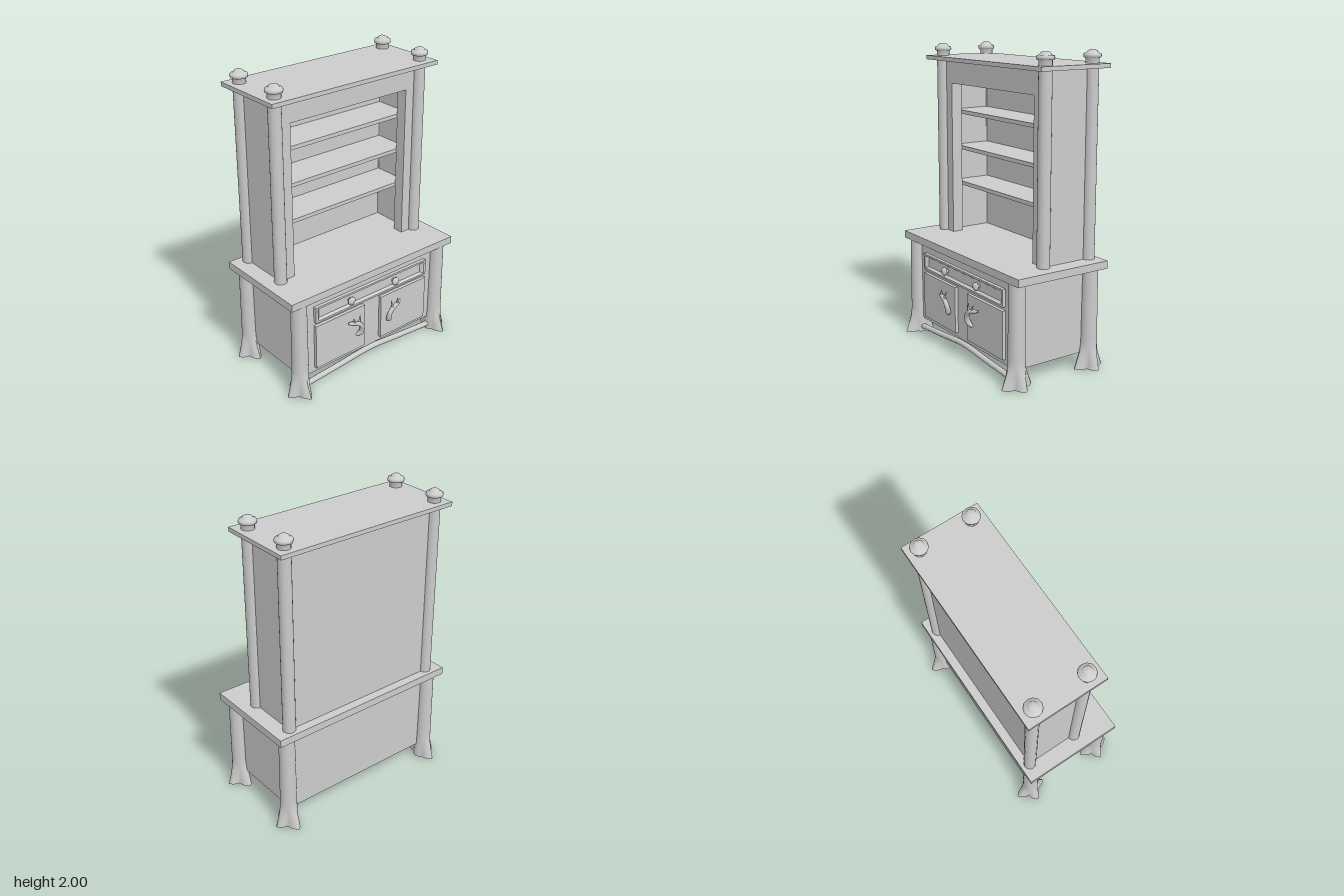
import * as THREE from 'three';

const mat = new THREE.MeshStandardMaterial({ color: 0xcccccc, side: THREE.DoubleSide });

export function createModel() {
  const root = new THREE.Group();
  root.name = 'hutchCabinet';

  const add = (name, geo, x = 0, y = 0, z = 0) => {
    const m = new THREE.Mesh(geo, mat);
    m.name = name;
    m.position.set(x, y, z);
    root.add(m);
    return m;
  };
  // Box given by its min and max on each axis
  const box = (name, x0, x1, y0, y1, z0, z1) =>
    add(name, new THREE.BoxGeometry(x1 - x0, y1 - y0, z1 - z0), (x0 + x1) / 2, (y0 + y1) / 2, (z0 + z1) / 2);

  // Rectangle outline, used for shapes and holes
  const rect = (path, x0, x1, y0, y1) => {
    path.moveTo(x0, y0);
    path.lineTo(x1, y0);
    path.lineTo(x1, y1);
    path.lineTo(x0, y1);
    path.closePath();
    return path;
  };

  // Tube whose radius follows a rule along its length
  const taperedTube = (points, radius, rule, steps = 20) => {
    const curve = new THREE.CatmullRomCurve3(points.map((p) => new THREE.Vector3(...p)));
    const sides = 10;
    const geo = new THREE.TubeGeometry(curve, steps, radius, sides);
    const pos = geo.attributes.position;
    const v = new THREE.Vector3();
    for (let i = 0; i < pos.count; i++) {
      const t = Math.floor(i / (sides + 1)) / steps;
      const c = curve.getPointAt(t);
      v.fromBufferAttribute(pos, i).sub(c).multiplyScalar(rule(t)).add(c);
      pos.setXYZ(i, v.x, v.y, v.z);
    }
    return geo;
  };

  // Trunk-like leg that spreads into pointed roots at the floor
  const legGeometry = (sx) => {
    const h = 0.665;
    const geo = new THREE.CylinderGeometry(0.051, 0.056, h, 32, 24);
    geo.translate(0, h / 2, 0);
    const roots = [
      [Math.PI / 2, 0.055],
      [-Math.PI / 2, 0.055],
      [sx > 0 ? 0 : Math.PI, 0.046],
      [sx > 0 ? Math.PI : 0, 0.008],
    ];
    const pos = geo.attributes.position;
    for (let i = 0; i < pos.count; i++) {
      const x = pos.getX(i), y = pos.getY(i), z = pos.getZ(i);
      const r = Math.hypot(x, z);
      if (y > 0.16 || r < 0.001) continue;
      const a = Math.atan2(z, x);
      const flare = ((0.16 - y) / 0.16) ** 1.2;
      let grow = 0;
      for (const [angle, size] of roots) {
        const d = Math.abs(Math.atan2(Math.sin(a - angle), Math.cos(a - angle)));
        grow += size * Math.max(0, 1 - d / 0.75);
      }
      const k = 1 + (grow * flare) / r;
      pos.setXYZ(i, x * k, y, z * k);
    }
    geo.computeVertexNormals();
    return geo;
  };

  // Lower cabinet and counter
  box('lowerCabinet', -0.58, 0.58, 0.1, 0.665, -0.28, 0.28);
  box('counter', -0.68, 0.68, 0.66, 0.71, -0.345, 0.335);

  // Legs
  for (const sx of [-1, 1]) {
    for (const sz of [-1, 1]) add('leg', legGeometry(sx), sx * 0.59, 0, sz * 0.28);
  }

  // Arched brace between the front legs
  add('frontBrace', taperedTube(
    [[-0.57, 0.033, 0.28], [-0.28, 0.055, 0.28], [0, 0.076, 0.28], [0.28, 0.055, 0.28], [0.57, 0.033, 0.28]],
    0.019, () => 1, 24));

  // Drawer: raised rim, sloping inner border, recessed panel
  const rim = rect(new THREE.Shape(), -0.475, 0.475, 0.475, 0.588);
  rim.holes.push(rect(new THREE.Path(), -0.457, 0.457, 0.488, 0.575));
  add('drawerRim', new THREE.ExtrudeGeometry(rim, { depth: 0.025, bevelEnabled: false }), 0, 0, 0.278);
  const slope = new THREE.CylinderGeometry(Math.SQRT1_2, Math.SQRT1_2, 1, 4, 1, true);
  slope.rotateY(Math.PI / 4).rotateX(Math.PI / 2);
  const sp = slope.attributes.position;
  for (let i = 0; i < sp.count; i++) {
    const front = sp.getZ(i) > 0;
    sp.setXYZ(i, Math.sign(sp.getX(i)) * (front ? 0.457 : 0.437),
      Math.sign(sp.getY(i)) * (front ? 0.0435 : 0.032), front ? 0.303 : 0.284);
  }
  const slopeFlat = slope.toNonIndexed();
  slopeFlat.computeVertexNormals();
  add('drawerBorder', slopeFlat, 0, 0.5315, 0);
  box('drawerPanel', -0.437, 0.437, 0.4995, 0.5635, 0.27, 0.285);

  const knobProfile = [[0, 0], [0.013, 0], [0.015, 0.015], [0.028, 0.022], [0.028, 0.032], [0.016, 0.042], [0, 0.045]]
    .map(([x, y]) => new THREE.Vector2(x, y));

  for (const s of [-1, 1]) {
    // Drawer knob
    add('drawerKnob', new THREE.LatheGeometry(knobProfile, 14), s * 0.19, 0.5315, 0.284).rotation.x = Math.PI / 2;

    // Door
    add('door', new THREE.BoxGeometry(0.403, 0.315, 0.025), s * 0.2735, 0.2925, 0.29);

    // Antler handle: curved beam with two prongs
    const mirror = (pts) => pts.map(([x, y, z]) => [s * x, y, z]);
    add('antlerHandle', taperedTube(
      mirror([[0.226, 0.378, 0.318], [0.19, 0.37, 0.334], [0.15, 0.356, 0.338], [0.122, 0.318, 0.336], [0.124, 0.275, 0.325], [0.145, 0.25, 0.308]]),
      0.018, (t) => (t < 0.1 ? 0.3 + t * 4 : t < 0.85 ? 0.7 + (t - 0.1) * 0.45 : 1.04 - (t - 0.85) * 4)));
    for (const [x, y, tipX] of [[0.185, 0.368, 0.192], [0.148, 0.358, 0.135]]) {
      add('antlerProng', taperedTube(
        mirror([[x, y, 0.335], [(x + tipX) / 2, y + 0.025, 0.336], [tipX, 0.412, 0.33]]),
        0.011, (t) => 1 - 0.9 * t, 8));
    }
  }

  // Upper cabinet: sides, back, front frame, shelves, top
  for (const s of [-1, 1]) {
    add('upperSide', new THREE.BoxGeometry(0.035, 1.19, 0.34), s * 0.5525, 1.3, -0.11);
  }
  box('upperBack', -0.57, 0.57, 0.705, 1.895, -0.285, -0.26);
  const frame = new THREE.Shape();
  [[-0.57, 0.705], [-0.46, 0.705], [-0.46, 1.737], [0.46, 1.737], [0.46, 0.705], [0.57, 0.705], [0.57, 1.895], [-0.57, 1.895]]
    .forEach(([x, y], i) => (i ? frame.lineTo(x, y) : frame.moveTo(x, y)));
  add('upperFrame', new THREE.ExtrudeGeometry(frame, { depth: 0.075, bevelEnabled: false }), 0, 0, -0.005);
  for (const y of [1.048, 1.295, 1.54]) box('shelf', -0.54, 0.54, y - 0.013, y + 0.013, -0.27, -0.005);
  box('topBoard', -0.645, 0.645, 1.89, 1.917, -0.36, 0.157);

  // Corner columns with turned finials
  const finial = [[0.042, 1.91], [0.042, 1.948], [0.053, 1.952], [0.056, 1.962], [0.053, 1.975], [0.036, 1.979], [0.031, 1.99], [0.018, 1.998], [0, 2]]
    .map(([x, y]) => new THREE.Vector2(x, y));
  for (const x of [-0.568, 0.568]) {
    for (const z of [-0.28, 0.07]) {
      add('column', new THREE.CylinderGeometry(0.041, 0.041, 1.2, 20), x, 1.305, z);
      add('finial', new THREE.LatheGeometry(finial, 12), x, 0, z);
    }
  }

  return root;
}
